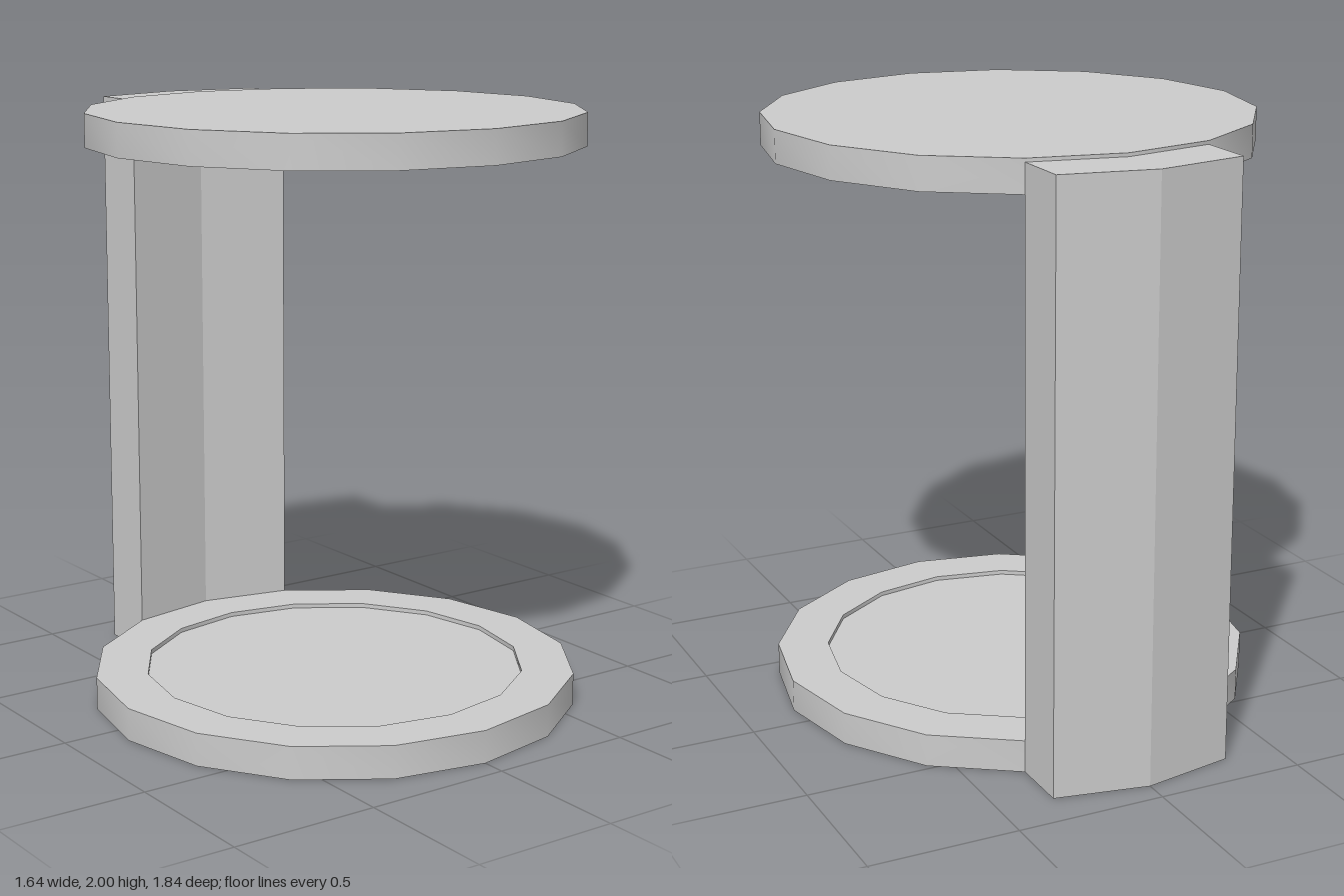
import * as THREE from 'three';
import { toCreasedNormals } from 'three/addons/utils/BufferGeometryUtils.js';

const SIDES = 16, RADIUS = 0.82, CENTRE_Z = 0.1, HEIGHT = 2;

export function createModel() {
  const group = new THREE.Group();
  const material = new THREE.MeshStandardMaterial({ color: 0xcccccc });

  // Plate: a 16-sided disc with a shallow round recess in its inner face
  const profile = [[0, 0], [RADIUS, 0], [RADIUS, 0.11], [0.645, 0.11], [0.645, 0.095], [0, 0.095]]
    .map(([r, y]) => new THREE.Vector2(r, y));
  const plateGeometry = toCreasedNormals(new THREE.LatheGeometry(profile, SIDES), 0.6);

  const bottomPlate = new THREE.Mesh(plateGeometry, material);
  bottomPlate.name = 'bottomPlate';
  bottomPlate.position.z = CENTRE_Z;

  // The top plate is the same disc turned over
  const topPlate = new THREE.Mesh(plateGeometry, material);
  topPlate.name = 'topPlate';
  topPlate.rotation.z = Math.PI;
  topPlate.position.set(0, HEIGHT, CENTRE_Z);

  // Back wall: follows two edges of the plates, with a shallow V plan
  const step = (2 * Math.PI) / SIDES;
  const x = RADIUS * Math.sin(step);
  const inner = RADIUS * Math.cos(step) - CENTRE_Z;
  const plan = new THREE.Shape([
    [-x, inner], [0, RADIUS - CENTRE_Z], [x, inner],
    [x, 0.86], [0, 0.92], [-x, 0.86],
  ].map(([px, py]) => new THREE.Vector2(px, py)));
  const wallGeometry = new THREE.ExtrudeGeometry(plan, { depth: 1.988, bevelEnabled: false });
  wallGeometry.rotateX(-Math.PI / 2);
  const backWall = new THREE.Mesh(wallGeometry, material);
  backWall.name = 'backWall';

  group.add(bottomPlate, topPlate, backWall);
  return group;
}
